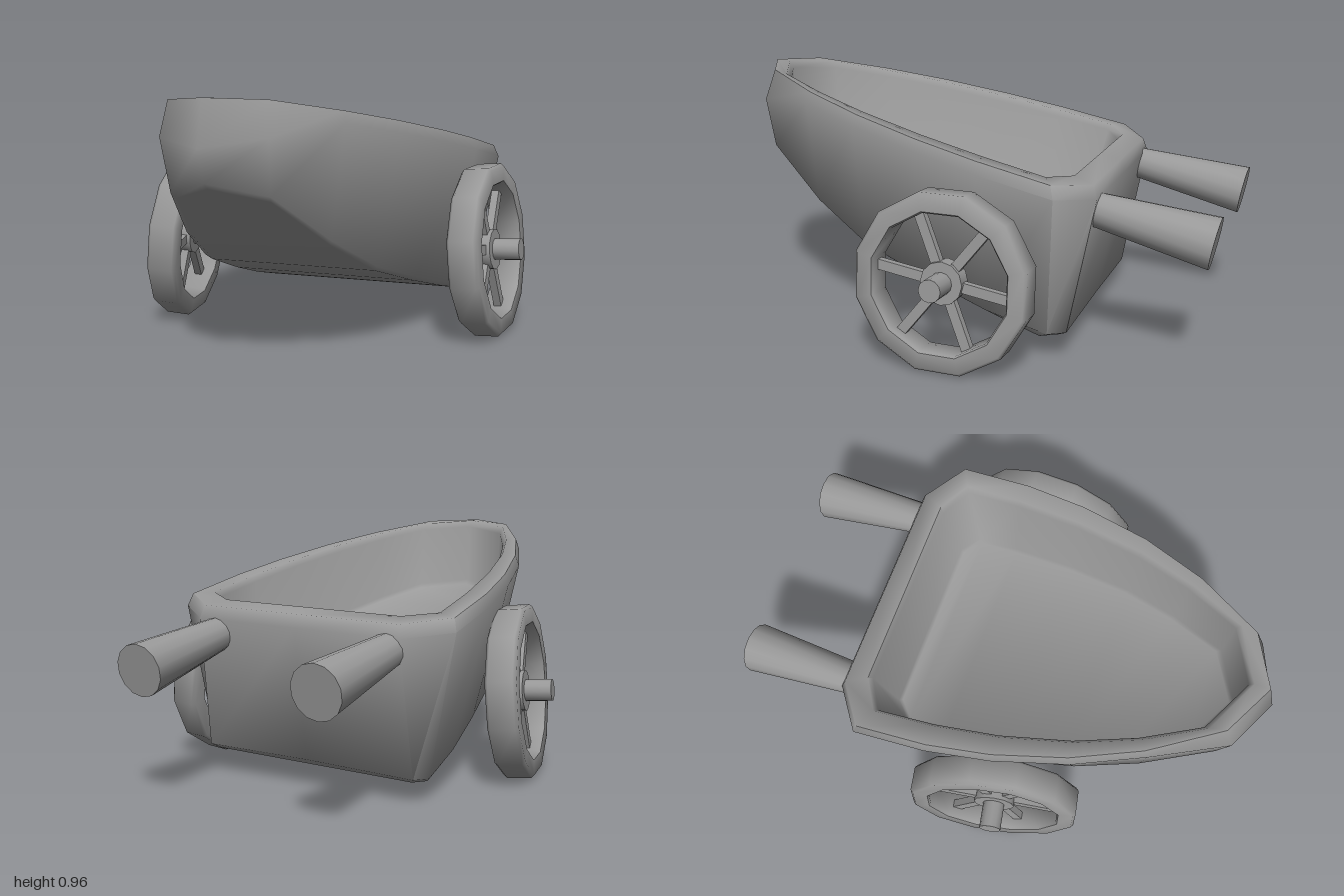
import * as THREE from 'three';
import { toCreasedNormals } from 'three/addons/utils/BufferGeometryUtils.js';

const material = new THREE.MeshStandardMaterial({ color: 0x999999 });

function addMesh(parent, geometry, name, crease = 0.9) {
  const mesh = new THREE.Mesh(toCreasedNormals(geometry, crease), material);
  mesh.name = name;
  parent.add(mesh);
  return mesh;
}

// Height of the sloping rim and of the floor at a given z
const rimY = (z) => Math.min(0.967, 0.775 + 0.209 * z);
const floorY = (z) => 0.455 + 0.25 * z;

// Half outlines [x, z] from the bow tip round to the middle of the back
const widest = [[0, 1], [0.205, 0.9], [0.355, 0.63], [0.462, 0.38], [0.537, 0.1],
  [0.575, -0.15], [0.587, -0.44], [0.43, -0.557], [0, -0.557]];
const innerRim = [[0, 0.885], [0.195, 0.785], [0.3, 0.58], [0.38, 0.36], [0.44, 0.1],
  [0.472, -0.15], [0.483, -0.375], [0.37, -0.445], [0, -0.445]];
const floor = [[0, 0.875], [0.19, 0.775], [0.28, 0.57], [0.345, 0.36], [0.39, 0.1],
  [0.412, -0.15], [0.422, -0.315], [0.355, -0.378], [0, -0.38]];
// Half outline of the keel [x, y, z]
const keel = [[0, 0.69, 0.965], [0.19, 0.64, 0.87], [0.29, 0.455, 0.62], [0.36, 0.32, 0.38],
  [0.41, 0.225, 0.1], [0.45, 0.15, -0.15], [0.48, 0.1, -0.4], [0.45, 0.105, -0.465], [0, 0.11, -0.465]];

// Shell from stacked mirrored outlines, closed by a keel panel and a floor panel
function hullGeometry() {
  const inset = ([x, z], d) => [x * (1 - d * 1.7), z - Math.sign(z) * d * Math.min(1, Math.abs(z) * 2)];
  const lift = (outline, y) => outline.map(([x, z]) => [x, y(z), z]);
  const rings = [
    keel.map(([x, y, z]) => [x * 0.95, y - 0.02, z < -0.3 ? z + 0.035 : z - 0.02]),
    keel,
    widest.map(([x, z], i) => [x, rimY(z) - (i === 0 ? 0.16 : i === 1 ? 0.13 : 0.045), z]),
    lift(widest.map((p, i) => inset(p, i < 2 ? 0.04 : 0.016)), rimY),
    lift(innerRim.map((p) => inset(p, -0.016)), rimY),
    lift(innerRim, (z) => rimY(z) - 0.025),
    lift(floor, (z) => floorY(z) + 0.015),
    lift(floor.map((p) => inset(p, 0.015)), floorY),
  ].map((half) => [...half, ...half.slice(1, -1).reverse().map(([x, y, z]) => [-x, y, z])]);

  const n = rings[0].length;
  const index = [];
  const tri = (a, b, c) => { if (a !== b && b !== c && a !== c) index.push(a, b, c); };
  for (let j = 0; j < rings.length - 1; j++) {
    for (let i = 0; i < n; i++) {
      const a = j * n + i, b = j * n + (i + 1) % n;
      tri(a, b, b + n);
      tri(a, b + n, a + n);
    }
  }
  const top = (rings.length - 1) * n;
  for (let i = 0; i < n / 2; i++) {
    const [a, b, c, d] = [i, i + 1, n - i - 1, (n - i) % n];
    tri(top + a, top + b, top + c);
    tri(top + a, top + c, top + d);
    tri(c, b, a);
    tri(d, c, a);
  }
  const geometry = new THREE.BufferGeometry();
  geometry.setAttribute('position', new THREE.Float32BufferAttribute(rings.flat(2), 3));
  geometry.setIndex(index);
  return geometry;
}

// Wheel with its axle pointing out along local +x, turned by yaw and then leaned
function makeWheel(name, centre, yaw, lean) {
  const wheel = new THREE.Group();
  wheel.name = name;
  const w = 0.058;
  const profile = [[0.268, -w], [0.326, -w], [0.337, -w + 0.012], [0.337, w - 0.012],
    [0.326, w], [0.268, w], [0.262, w - 0.008], [0.262, -w + 0.008], [0.268, -w]]
    .map(([r, y]) => new THREE.Vector2(r, y));
  const rim = new THREE.LatheGeometry(profile, 12, Math.PI / 12).rotateZ(-Math.PI / 2);
  addMesh(wheel, rim, 'wheelRim');
  addMesh(wheel, new THREE.CylinderGeometry(0.08, 0.08, 0.06, 12).rotateZ(-Math.PI / 2), 'hub');
  const axle = new THREE.CylinderGeometry(0.042, 0.042, 0.175, 12).rotateZ(-Math.PI / 2);
  addMesh(wheel, axle.translate(0.045, 0, 0), 'axle');
  for (let i = 0; i < 6; i++) {
    const spoke = new THREE.BoxGeometry(0.03, 0.038, 0.21).translate(0, 0, 0.165);
    addMesh(wheel, spoke, 'spoke').rotation.x = -0.14 + i * Math.PI / 3;
  }
  wheel.position.set(...centre);
  wheel.rotation.set(0, yaw, lean, 'YZX');
  return wheel;
}

// Flared handle between two points
function addHandle(parent, name, from, to) {
  const a = new THREE.Vector3(...from), b = new THREE.Vector3(...to);
  const dir = b.clone().sub(a);
  const handle = addMesh(parent, new THREE.CylinderGeometry(0.097, 0.06, dir.length(), 14), name);
  handle.position.copy(a).add(b).multiplyScalar(0.5);
  handle.quaternion.setFromUnitVectors(new THREE.Vector3(0, 1, 0), dir.normalize());
}

export function createModel() {
  const cart = new THREE.Group();
  cart.name = 'handcart';

  // Slightly crooked body
  const body = addMesh(cart, hullGeometry(), 'body', 1.1);
  body.position.x = -0.025;
  body.rotation.set(0, 0.035, 0.025);

  addHandle(cart, 'leftHandle', [0.302, 0.575, -0.5], [0.288, 0.487, -0.98]);
  addHandle(cart, 'rightHandle', [-0.433, 0.565, -0.48], [-0.443, 0.482, -0.96]);

  // Wheels lean and toe unevenly
  cart.add(makeWheel('leftWheel', [0.612, 0.333, -0.088], 0.02, 0.085));
  cart.add(makeWheel('rightWheel', [-0.617, 0.333, 0.146], Math.PI + 0.24, 0.08));
  return cart;
}
